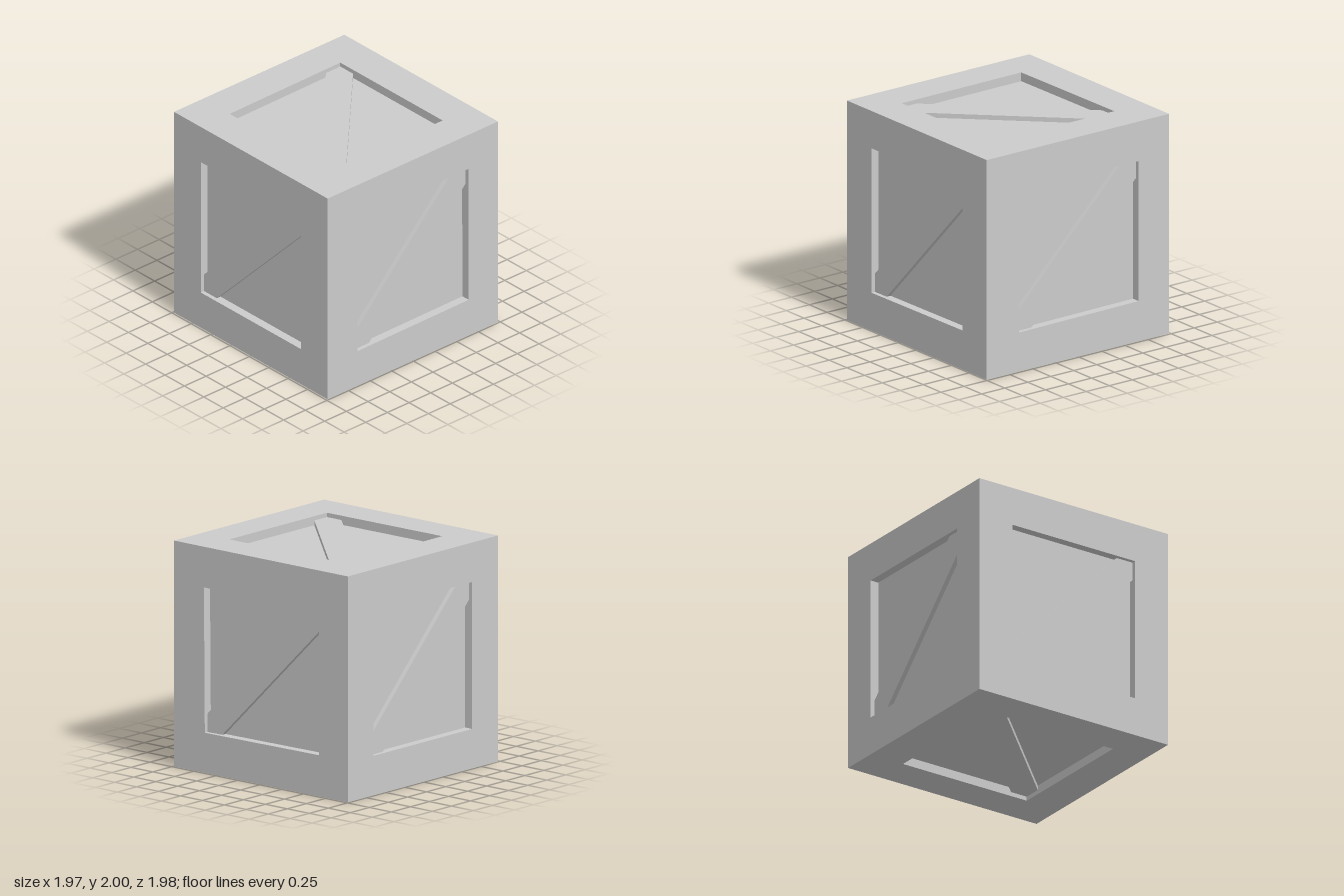
import * as THREE from 'three';

const HX = 0.983, HY = 1, HZ = 0.99; // half sizes of the crate
const RECESS = 0.08, BAR_RISE = 0.042, BAR_WIDTH = 0.165;

const material = new THREE.MeshStandardMaterial({ color: 0xcccccc, flatShading: true });

// Window corners run counter-clockwise from bottom left, seen from outside
const square = [[-0.645, -0.65], [0.645, -0.65], [0.645, 0.65], [-0.645, 0.65]];
const frontWindow = [[-0.64, -0.655], [0.645, -0.645], [0.64, 0.66], [-0.64, 0.66]];
const rightWindow = [[-0.64, -0.645], [0.66, -0.635], [0.66, 0.64], [-0.65, 0.64]];
const topWindow = [[-0.64, -0.66], [0.64, -0.66], [0.64, 0.66], [-0.65, 0.645]];

// Joins four-cornered loops with quads
function bands(loops) {
  const pos = [];
  for (let l = 0; l + 1 < loops.length; l++) {
    for (let i = 0; i < 4; i++) {
      const j = (i + 1) % 4;
      const a = loops[l][i], b = loops[l][j], c = loops[l + 1][j], d = loops[l + 1][i];
      pos.push(...a, ...b, ...c, ...a, ...c, ...d);
    }
  }
  const geo = new THREE.BufferGeometry();
  geo.setAttribute('position', new THREE.Float32BufferAttribute(pos, 3));
  geo.computeVertexNormals();
  return geo;
}

function part(name, geo) {
  const mesh = new THREE.Mesh(geo, material);
  mesh.name = name;
  return mesh;
}

// One side of the crate, built facing +z
function crateSide(name, hu, hv, depth, win) {
  const side = new THREE.Group();
  side.name = name;

  // Frame face and the walls of the recess
  const outer = [[-hu, -hv], [hu, -hv], [hu, hv], [-hu, hv]];
  const at = (pts, z) => pts.map(([x, y]) => [x, y, z]);
  side.add(part('frame', bands([at(outer, depth), at(win, depth), at(win, depth - RECESS)])));

  // Sunken panel
  const panel = new THREE.ShapeGeometry(new THREE.Shape(win.map(p => new THREE.Vector2(...p))));
  panel.translate(0, 0, depth - RECESS);
  side.add(part('panel', panel));

  // Diagonal brace, cut to fit the window corners
  const [bl, , tr] = win, w = BAR_WIDTH;
  const outline = [
    bl, [bl[0] + w, bl[1]], [tr[0], tr[1] - w],
    tr, [tr[0] - w, tr[1]], [bl[0], bl[1] + w],
  ].map(p => new THREE.Vector2(...p));
  const brace = new THREE.ExtrudeGeometry(new THREE.Shape(outline), { depth: BAR_RISE, bevelEnabled: false });
  brace.translate(0, 0, depth - RECESS);
  side.add(part('diagonalBrace', brace));
  return side;
}

export function createModel() {
  const crate = new THREE.Group();
  crate.name = 'crate';
  const q = Math.PI / 2;
  const sides = [
    ['frontSide', HX, HY, HZ, frontWindow, 0, 0],
    ['rightSide', HZ, HY, HX, rightWindow, 0, q],
    ['backSide', HX, HY, HZ, square, 0, 2 * q],
    ['leftSide', HZ, HY, HX, square, 0, -q],
    ['topSide', HX, HZ, HY, topWindow, -q, 0],
    ['bottomSide', HX, HZ, HY, square, q, 0],
  ];
  for (const [name, hu, hv, depth, win, rx, ry] of sides) {
    const side = crateSide(name, hu, hv, depth, win);
    side.rotation.set(rx, ry, 0);
    side.position.y = HY;
    crate.add(side);
  }
  return crate;
}
